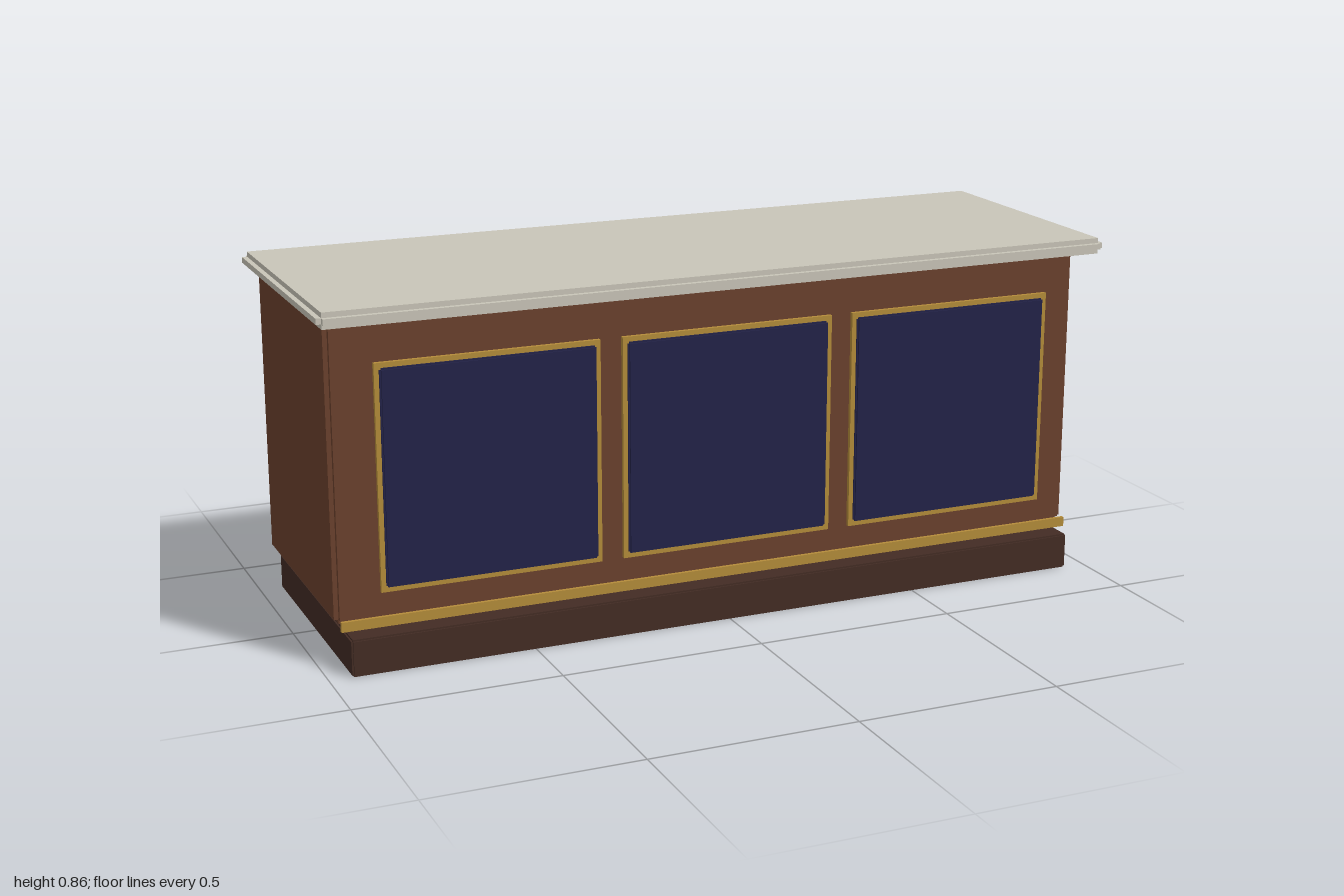
import * as THREE from 'three';

const mat = (name, color) => Object.assign(new THREE.MeshStandardMaterial({ color }), { name });

export function createModel() {
  const wood = mat('brown wood', 0x6b412d);
  const darkWood = mat('dark wood', 0x432c24);
  const stone = mat('pale stone', 0xc9c5b8);
  const gold = mat('gold', 0xb48c3a);
  const navy = mat('navy', 0x232348);

  const model = new THREE.Group();
  model.name = 'counter';

  // Plain box from its extents: x centre, width, y range, z range
  function box(parent, name, material, x, w, y0, y1, z0, z1) {
    const mesh = new THREE.Mesh(new THREE.BoxGeometry(w, y1 - y0, z1 - z0), material);
    mesh.position.set(x, (y0 + y1) / 2, (z0 + z1) / 2);
    mesh.name = name;
    parent.add(mesh);
  }

  // Box with rebated edges: three crossing boxes, each full length on one axis
  function steppedBox(name, material, x, w, y0, y1, z0, z1, r) {
    const group = new THREE.Group();
    group.name = name;
    box(group, name + 'Wide', material, x, w, y0 + r, y1 - r, z0 + r, z1 - r);
    box(group, name + 'Tall', material, x, w - 2 * r, y0, y1, z0 + r, z1 - r);
    box(group, name + 'Deep', material, x, w - 2 * r, y0 + r, y1 - r, z0, z1);
    model.add(group);
  }

  // Plinth, cabinet and worktop
  steppedBox('plinth', darkWood, 0, 1.89, 0, 0.09, -0.324, 0.325, 0.004);
  steppedBox('cabinet', wood, 0, 1.93, 0.107, 0.835, -0.332, 0.264, 0.011);
  steppedBox('worktop', stone, 0, 2, 0.824, 0.863, -0.351, 0.352, 0.0125);

  // Gold strip standing off the front, above the plinth
  box(model, 'frontTrim', gold, 0, 1.915, 0.099, 0.123, 0.281, 0.29);

  // Three navy panels on gold backing plates
  for (const x of [-0.595, 0, 0.595]) {
    box(model, 'panelFrame', gold, x, 0.54, 0.188, 0.728, 0.296, 0.306);
    steppedBox('panel', navy, x, 0.517, 0.2, 0.716, 0.301, 0.313, 0.004);
  }

  return model;
}
